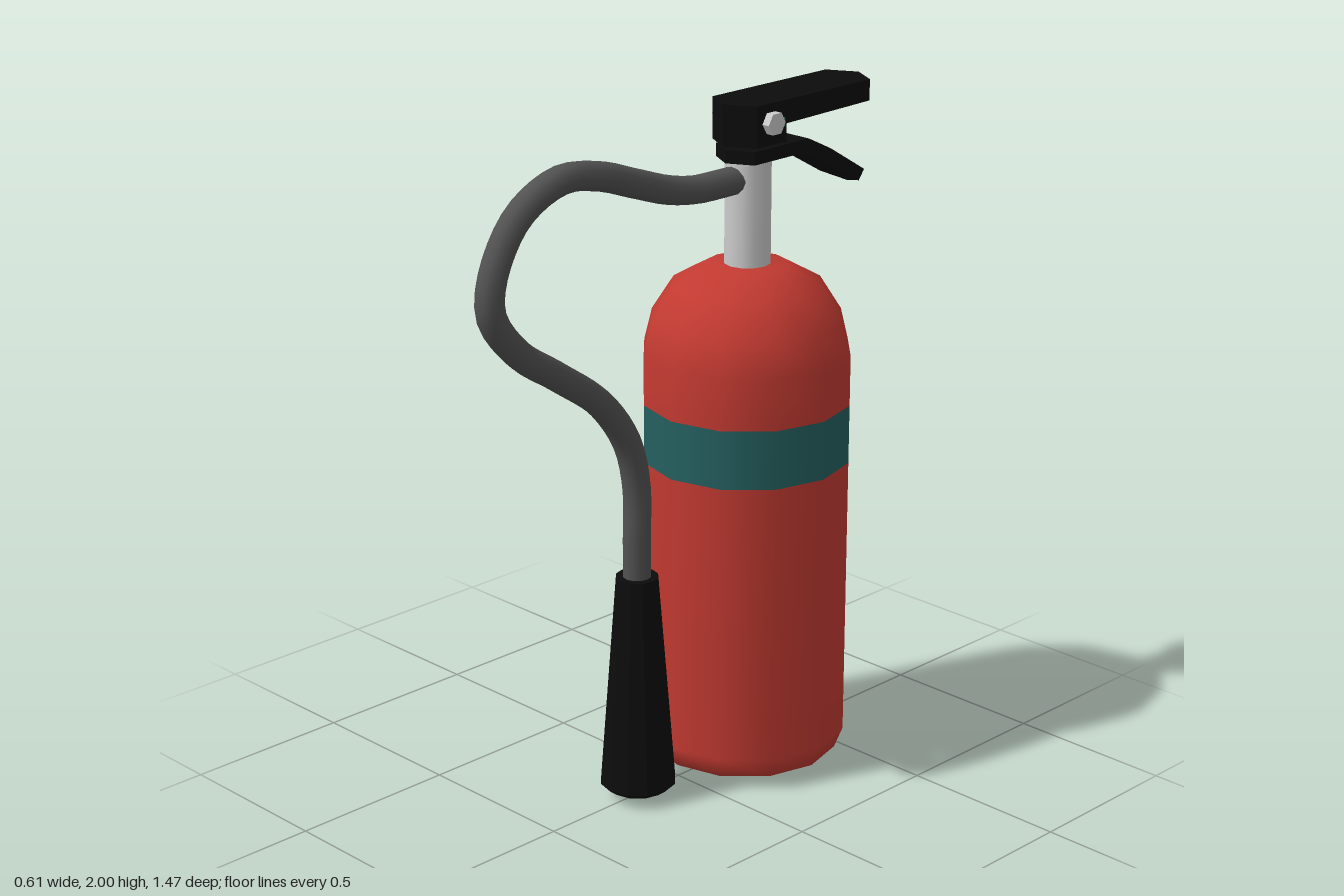
import * as THREE from 'three';

const AXIS_Z = -0.277; // vertical axis of the tank
const NOZZLE_Z = 0.165;

function material(name, color) {
  const m = new THREE.MeshStandardMaterial({ color });
  m.name = name;
  return m;
}

export function createModel() {
  const red = material('red paint', 0xc23a31);
  const teal = material('teal band', 0x256060);
  const steel = material('light steel', 0xcccccc);
  const rubber = material('grey rubber', 0x525252);
  const black = material('black plastic', 0x0c0c0c);

  const model = new THREE.Group();
  model.name = 'fireExtinguisher';

  function add(name, geometry, mat, x = 0, y = 0, z = 0) {
    const mesh = new THREE.Mesh(geometry, mat);
    mesh.name = name;
    mesh.position.set(x, y, z);
    model.add(mesh);
    return mesh;
  }

  const lathe = (points) =>
    new THREE.LatheGeometry(points.map(([r, y]) => new THREE.Vector2(r, y)), 12);

  // Tank, split at the coloured band
  add('tankLower', lathe([[0, 0], [0.21, 0.004], [0.28, 0.035], [0.305, 0.1], [0.305, 0.945]]), red, 0, 0, AXIS_Z);
  add('tankBand', lathe([[0.305, 0.945], [0.305, 1.12]]), teal, 0, 0, AXIS_Z);
  add('tankUpper', lathe([[0.305, 1.12], [0.305, 1.27], [0.282, 1.365], [0.217, 1.468], [0.12, 1.522], [0, 1.53]]),
    red, 0, 0, AXIS_Z);

  // Neck
  add('neck', new THREE.CylinderGeometry(0.068, 0.068, 0.35, 12), steel, 0, 1.67, AXIS_Z);

  // Side profile [depth towards the back, height] extruded across x, with both ends drawn to a point
  function pointedBar(profile, halfWidth, front, back, cut) {
    const shape = new THREE.Shape(profile.map(([u, y]) => new THREE.Vector2(u, y)));
    const g = new THREE.ExtrudeGeometry(shape, { depth: halfWidth * 2, steps: 2, bevelEnabled: false });
    g.translate(0, 0, -halfWidth);
    const p = g.attributes.position;
    for (let i = 0; i < p.count; i++) {
      if (Math.abs(p.getZ(i)) < 0.01) continue;
      const u = p.getX(i);
      if (u < front) p.setX(i, u + cut[0]);
      if (u > back) p.setXY(i, u - cut[1], p.getY(i) + cut[2]);
    }
    g.rotateY(Math.PI / 2);
    g.computeVertexNormals();
    return g;
  }

  // Valve head with the fixed carrying handle
  add('carryHandle', pointedBar(
    [[0.173, 1.88], [0.341, 1.88], [0.341, 1.932], [0.735, 1.938], [0.735, 2], [0.173, 2]],
    0.086, 0.18, 0.73, [0.048, 0.048, 0]), black);

  // Bent squeeze lever below it
  add('squeezeLever', pointedBar(
    [[0.185, 1.83], [0.43, 1.83], [0.51, 1.79], [0.695, 1.685], [0.717, 1.715], [0.537, 1.823], [0.445, 1.868], [0.185, 1.868]],
    0.075, 0.19, 0.69, [0.04, 0.034, 0.02]), black);

  // Hexagonal bolt ends on both sides of the head, with a thin teal tag
  for (const side of [1, -1]) {
    const bolt = add(side > 0 ? 'boltLeft' : 'boltRight',
      new THREE.CylinderGeometry(0.034, 0.034, 0.03, 6).toNonIndexed(), steel, side * 0.095, 1.945, AXIS_Z);
    bolt.geometry.computeVertexNormals();
    bolt.rotation.z = Math.PI / 2;
    add(side > 0 ? 'boltTagLeft' : 'boltTagRight',
      new THREE.BoxGeometry(0.026, 0.025, 0.006), teal, side * 0.095, 1.945, AXIS_Z - 0.033);
  }

  // Hose looping forward and down, as [z, y]
  const path = [[-0.235, 1.775], [-0.15, 1.775], [-0.06, 1.778], [0.04, 1.797], [0.167, 1.84], [0.3, 1.885], [0.44, 1.9],
    [0.59, 1.83], [0.68, 1.69], [0.69, 1.58], [0.6, 1.457], [0.457, 1.357], [0.3, 1.24], [0.2, 1.1],
    [NOZZLE_Z, 0.96], [NOZZLE_Z, 0.8], [NOZZLE_Z, 0.65]];
  const curve = new THREE.CatmullRomCurve3(path.map(([z, y]) => new THREE.Vector3(0, y, z)));
  add('hose', new THREE.TubeGeometry(curve, 60, 0.041, 12), rubber);

  // Flared discharge horn
  const horn = lathe([[0, 0.025], [0.085, 0.025], [0.112, 0.046], [0.062, 0.69], [0, 0.69]]).toNonIndexed();
  horn.computeVertexNormals();
  add('dischargeHorn', horn, black, 0, 0, NOZZLE_Z);

  return model;
}
